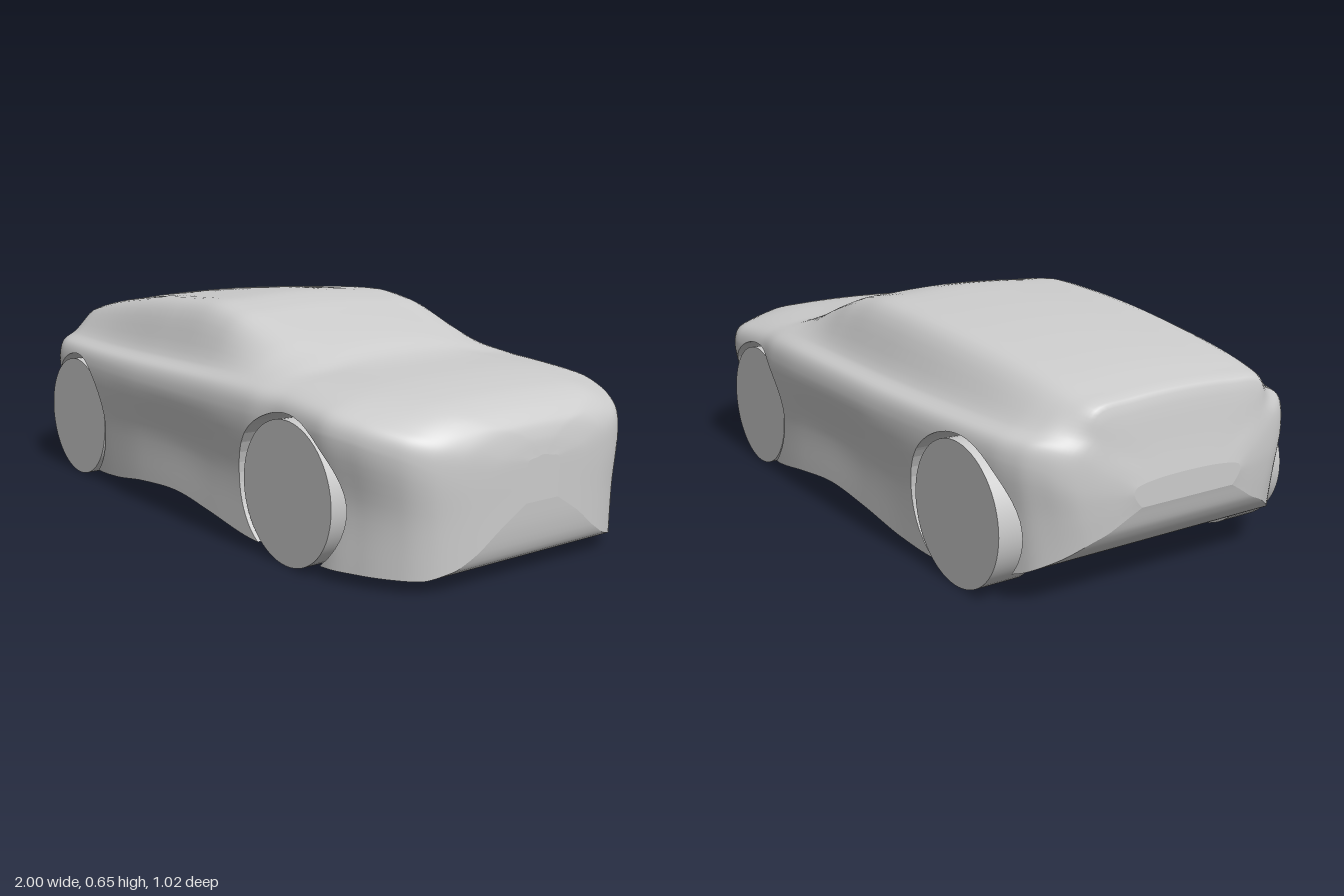
import * as THREE from 'three';

const material = new THREE.MeshStandardMaterial({ color: 0xcccccc, side: THREE.DoubleSide });

// Wheel and arch dimensions
const wheelXs = [-0.665, 0.555];
const archY = 0.2, archR = 0.21, wellZ = 0.34, wheelR = 0.196;

// Monotone curve through [x, value] points
function curve(p) {
  const n = p.length;
  const d = p.slice(1).map((q, i) => (q[1] - p[i][1]) / (q[0] - p[i][0]));
  const m = p.map((q, i) => {
    if (i === 0) return d[0];
    if (i === n - 1) return d[n - 2];
    return d[i - 1] * d[i] <= 0 ? 0 : (2 * d[i - 1] * d[i]) / (d[i - 1] + d[i]);
  });
  return x => {
    let i = 0;
    while (i < n - 2 && x > p[i + 1][0]) i++;
    const h = p[i + 1][0] - p[i][0], t = (x - p[i][0]) / h, s = 1 - t;
    return (1 + 2 * t) * s * s * p[i][1] + t * s * s * h * m[i]
      + t * t * (3 - 2 * t) * p[i + 1][1] - t * t * s * h * m[i + 1];
  };
}

// Centre line, floor line and plan outline along the length
const top = curve([[-1, 0.32], [-0.985, 0.4], [-0.968, 0.5], [-0.96, 0.525], [-0.9, 0.545], [-0.8, 0.568],
  [-0.6, 0.6], [-0.4, 0.624], [-0.2, 0.64], [-0.04, 0.647], [0.1, 0.63], [0.2, 0.605], [0.3, 0.577],
  [0.4, 0.545], [0.48, 0.512], [0.55, 0.5], [0.7, 0.489], [0.85, 0.467], [0.93, 0.44], [0.98, 0.4], [0.995, 0.36], [1, 0.32]]);
const floorY = curve([[-1, 0.25], [-0.98, 0.19], [-0.93, 0.13], [-0.85, 0.085], [-0.7, 0.05], [-0.54, 0.03],
  [-0.4, 0.04], [-0.2, 0.07], [0, 0.085], [0.2, 0.065], [0.4, 0.035], [0.5, 0.03], [0.93, 0.035],
  [0.97, 0.055], [0.985, 0.085], [0.995, 0.14], [1, 0.2]]);
const width = curve([[-1, 0.18], [-0.985, 0.27], [-0.965, 0.345], [-0.93, 0.4], [-0.88, 0.445], [-0.8, 0.472],
  [-0.6, 0.492], [-0.4, 0.505], [-0.2, 0.512], [0.2, 0.512], [0.4, 0.505], [0.52, 0.49], [0.7, 0.492],
  [0.8, 0.462], [0.9, 0.4], [0.95, 0.34], [0.98, 0.26], [0.995, 0.16], [1, 0.06]]);
// Shape of the flanks, shoulder and roof edge
const midScale = curve([[-1, 0.95], [-0.6, 0.98], [0, 0.955], [0.5, 0.97], [0.8, 0.94], [1, 0.97]]);
const sillScale = curve([[-1, 0.85], [-0.9, 0.92], [-0.5, 0.96], [0.5, 0.97], [0.8, 0.94], [1, 0.95]]);
const wideY = curve([[-1, 0.29], [-0.9, 0.37], [-0.6, 0.38], [0.7, 0.38], [0.9, 0.34], [1, 0.27]]);
const beltY = curve([[-1, 0.31], [-0.985, 0.375], [-0.965, 0.44], [-0.9, 0.455], [-0.5, 0.46], [0, 0.47], [0.3, 0.475],
  [0.5, 0.468], [0.7, 0.452], [0.85, 0.425], [0.93, 0.4], [0.98, 0.365], [1, 0.31]]);
const roofZ = curve([[-1, 0.1], [-0.98, 0.2], [-0.965, 0.27], [-0.9, 0.295], [-0.6, 0.325], [-0.2, 0.345],
  [0.1, 0.345], [0.3, 0.325], [0.42, 0.28], [0.5, 0.28], [0.6, 0.3], [0.8, 0.28], [0.9, 0.26], [0.97, 0.18], [1, 0.02]]);
const roofDrop = curve([[-1, 0.003], [-0.97, 0.02], [-0.8, 0.025], [-0.3, 0.028], [0.1, 0.028], [0.3, 0.033],
  [0.45, 0.025], [0.55, 0.015], [0.8, 0.012], [0.95, 0.012], [1, 0.004]]);

// Cross-section from the +z sill, over the roof, to the -z sill
function bodySection(x) {
  const w = width(x), b = floorY(x), t = top(x), s = wideY(x), drop = roofDrop(x);
  const half = [
    [w * sillScale(x), b], [w * midScale(x), b + (s - b) * 0.5], [w, s],
    [w * 0.965, s + (beltY(x) - s) * 0.65], [w * 0.86, beltY(x)],
    [roofZ(x), t - drop], [roofZ(x) * 0.6, t - drop * 0.3],
  ];
  const points = half.map(([z, y]) => new THREE.Vector3(x, y, z));
  points.push(new THREE.Vector3(x, t, 0));
  half.reverse().forEach(([z, y]) => points.push(new THREE.Vector3(x, y, -z)));
  return new THREE.CatmullRomCurve3(points, false, 'centripetal').getPoints(84);
}

// Floor strip from -z to +z
function floorSection(x) {
  const w = width(x) * sillScale(x);
  return Array.from({ length: 25 }, (_, j) => new THREE.Vector3(x, floorY(x), w * (j / 12 - 1)));
}

// Smooth skin over a row of cross-sections
function loft(rows) {
  const n = rows[0].length, index = [];
  for (let i = 0; i < rows.length - 1; i++) {
    for (let j = 0; j < n - 1; j++) {
      const a = i * n + j, b = a + n;
      index.push(a, b, b + 1, a, b + 1, a + 1);
    }
  }
  const g = new THREE.BufferGeometry().setFromPoints(rows.flat());
  g.setIndex(index);
  g.computeVertexNormals();
  return g.toNonIndexed();
}

// Keep the part of a polygon where f >= 0, noting the cut points
function clip(poly, f, cut = []) {
  const out = [];
  poly.forEach((a, i) => {
    const b = poly[(i + 1) % poly.length], fa = f(a), fb = f(b);
    if (fa >= 0) out.push(a);
    if ((fa >= 0) !== (fb >= 0)) {
      const c = a.map((v, k) => v + (b[k] - v) * fa / (fa - fb));
      out.push(c);
      cut.push(c);
    }
  });
  return out;
}

// Cut the four wheel openings, adding arch walls along the cut edge
function cutArches(geometry, walls) {
  const p = geometry.attributes.position, n = geometry.attributes.normal;
  const pos = [], nor = [];
  const emit = poly => {
    for (let i = 1; i < poly.length - 1; i++) {
      for (const v of [poly[0], poly[i], poly[i + 1]]) {
        pos.push(v[0], v[1], v[2]);
        nor.push(v[3], v[4], v[5]);
      }
    }
  };
  for (let i = 0; i < p.count; i += 3) {
    const tri = [i, i + 1, i + 2].map(k => [p.getX(k), p.getY(k), p.getZ(k), n.getX(k), n.getY(k), n.getZ(k)]);
    emit(clip(tri, v => wellZ - Math.abs(v[2])));
    let outer = clip(tri, v => Math.abs(v[2]) - wellZ);
    for (const cx of wheelXs) {
      const cut = [];
      outer = clip(outer, v => Math.hypot(v[0] - cx, v[1] - archY) - archR, cut);
      if (cut.length === 2) {
        const [a, b] = cut, z = Math.sign(a[2]) * wellZ;
        walls.push(...a.slice(0, 3), ...b.slice(0, 3), b[0], b[1], z,
          ...a.slice(0, 3), b[0], b[1], z, a[0], a[1], z);
      }
    }
    emit(outer);
  }
  return fromArrays(pos, nor);
}

function fromArrays(pos, nor) {
  const g = new THREE.BufferGeometry();
  g.setAttribute('position', new THREE.Float32BufferAttribute(pos, 3));
  if (nor) g.setAttribute('normal', new THREE.Float32BufferAttribute(nor, 3));
  else g.computeVertexNormals();
  return g;
}

export function createModel() {
  const group = new THREE.Group();
  const add = (name, geometry) => {
    const mesh = new THREE.Mesh(geometry, material);
    mesh.name = name;
    group.add(mesh);
    return mesh;
  };

  // Stations crowd towards both ends
  const xs = Array.from({ length: 141 }, (_, i) => -Math.cos(Math.PI * i / 140));
  const walls = [];
  const rows = xs.map(bodySection);
  add('bodyShell', cutArches(loft(rows), walls));
  add('underbody', cutArches(loft(xs.map(floorSection)), walls));
  add('archWalls', fromArrays(walls));

  // Small flat panels closing nose and tail
  for (const [name, row, flip] of [['tailPanel', rows[0], true], ['nosePanel', rows[140], false]]) {
    const pos = [];
    for (let j = 1; j < row.length - 1; j++) {
      const order = flip ? [row[0], row[j], row[j + 1]] : [row[0], row[j + 1], row[j]];
      order.forEach(v => pos.push(v.x, v.y, v.z));
    }
    const g = fromArrays(pos);
    // Turn the panel outwards if its winding faces inwards
    const outward = flip ? -1 : 1;
    if (g.attributes.normal.getX(120) * outward < 0) {
      const flipped = [];
      for (let k = 0; k < pos.length; k += 9) {
        flipped.push(...pos.slice(k, k + 3), ...pos.slice(k + 6, k + 9), ...pos.slice(k + 3, k + 6));
      }
      add(name, fromArrays(flipped));
    } else add(name, g);
  }

  // Wheels and the inner walls of their wells
  wheelXs.forEach((x, k) => {
    const end = k === 0 ? 'tail' : 'nose';
    for (const side of [1, -1]) {
      const wheel = add(end + 'Wheel', new THREE.CylinderGeometry(wheelR, wheelR, 0.125, 64));
      wheel.rotation.x = Math.PI / 2;
      wheel.position.set(x, wheelR, side * 0.4225);
      const disc = new THREE.Shape().absarc(0, 0, archR, -0.88, Math.PI + (k === 0 ? 0.6 : 0.88), false);
      add(end + 'WellPanel', new THREE.ShapeGeometry(disc, 48)).position.set(x, archY, side * wellZ);
    }
  });
  return group;
}
